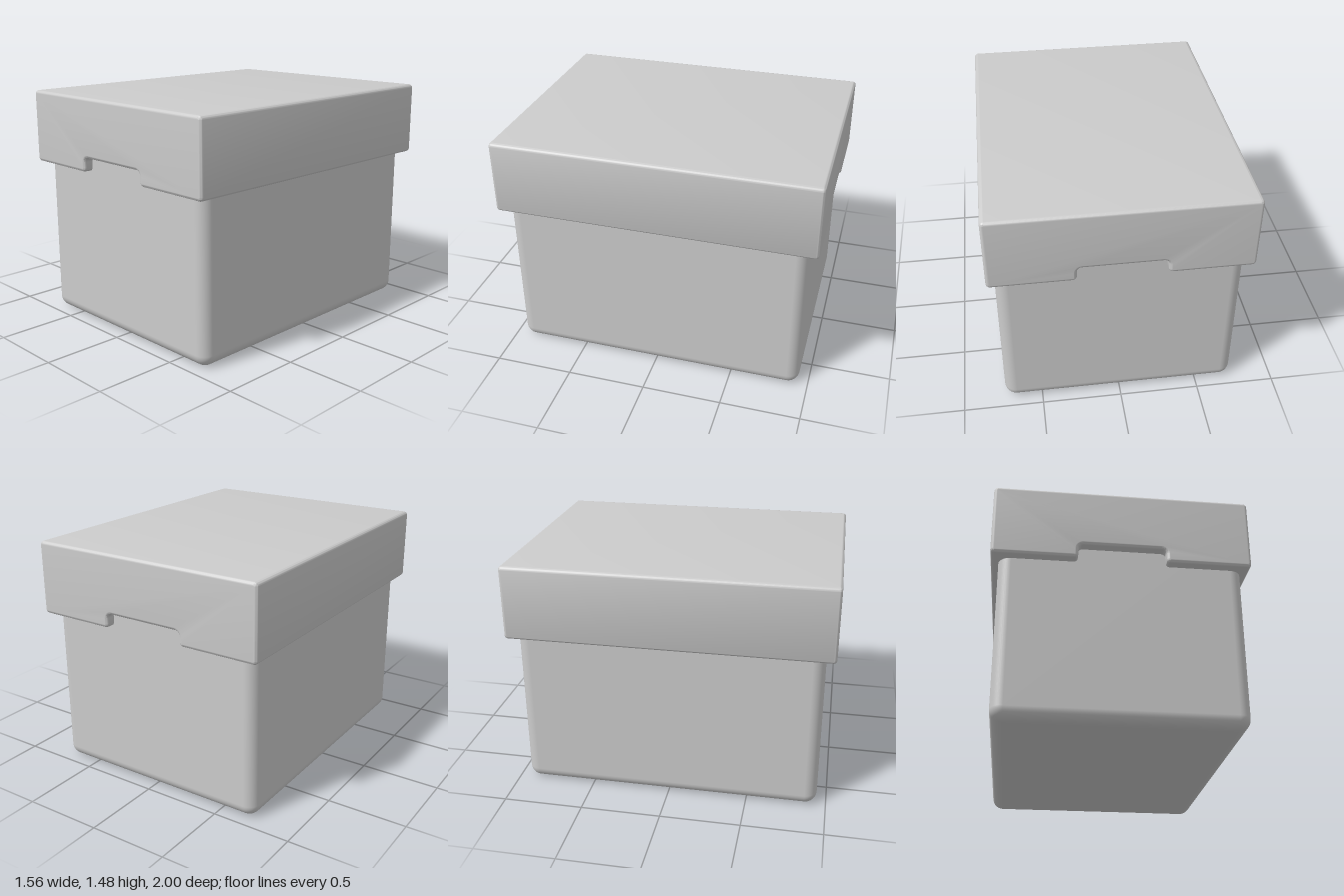
import * as THREE from 'three';
import { toCreasedNormals } from 'three/addons/utils/BufferGeometryUtils.js';
import { RoundedBoxGeometry } from 'three/addons/geometries/RoundedBoxGeometry.js';

// Closed outline from [x, y, cornerRadius] points
function roundedOutline(points) {
  const shape = new THREE.Shape();
  const n = points.length;
  points.forEach(([x, y, r], i) => {
    const corner = new THREE.Vector2(x, y);
    const toward = ([px, py]) =>
      new THREE.Vector2(px, py).sub(corner).setLength(r).add(corner);
    const a = toward(points[(i + n - 1) % n]);
    const b = toward(points[(i + 1) % n]);
    if (i === 0) shape.moveTo(a.x, a.y);
    else shape.lineTo(a.x, a.y);
    // centre of the corner arc completes the square a, corner, b
    const c = a.clone().add(b).sub(corner);
    const start = Math.atan2(a.y - c.y, a.x - c.x);
    const end = Math.atan2(b.y - c.y, b.x - c.x);
    const turn = (a.x - c.x) * (b.y - c.y) - (a.y - c.y) * (b.x - c.x);
    shape.absarc(c.x, c.y, r, start, end, turn < 0);
  });
  shape.closePath();
  return shape;
}

export function createModel() {
  const group = new THREE.Group();
  const material = new THREE.MeshStandardMaterial({ color: 0xcccccc });

  // Box body with softly rounded edges, its top tucked inside the lid
  const bodyHeight = 1.36;
  const body = new THREE.Mesh(new RoundedBoxGeometry(1.47, bodyHeight, 1.88, 6, 0.075), material);
  body.name = 'boxBody';
  body.position.y = bodyHeight / 2;
  group.add(body);

  // Overhanging lid, with a finger notch in the front and back rims
  const W = 0.782, bottom = 1.015, top = 1.48, notch = 0.265, notchTop = 1.105;
  const outline = roundedOutline([
    [-W, bottom, 0.025], [-notch, bottom, 0.025],
    [-notch, notchTop, 0.03], [notch, notchTop, 0.03],
    [notch, bottom, 0.025], [W, bottom, 0.025],
    [W, top, 0.025], [-W, top, 0.025],
  ]);
  const bevel = 0.02, depth = 2 - 2 * bevel;
  const lidGeometry = new THREE.ExtrudeGeometry(outline, {
    depth, curveSegments: 6, bevelEnabled: true, bevelSegments: 6,
    bevelSize: bevel, bevelThickness: bevel, bevelOffset: -bevel,
  });
  lidGeometry.translate(0, 0, -depth / 2);
  const lid = new THREE.Mesh(toCreasedNormals(lidGeometry, 0.6), material);
  lid.name = 'lid';
  group.add(lid);

  return group;
}
